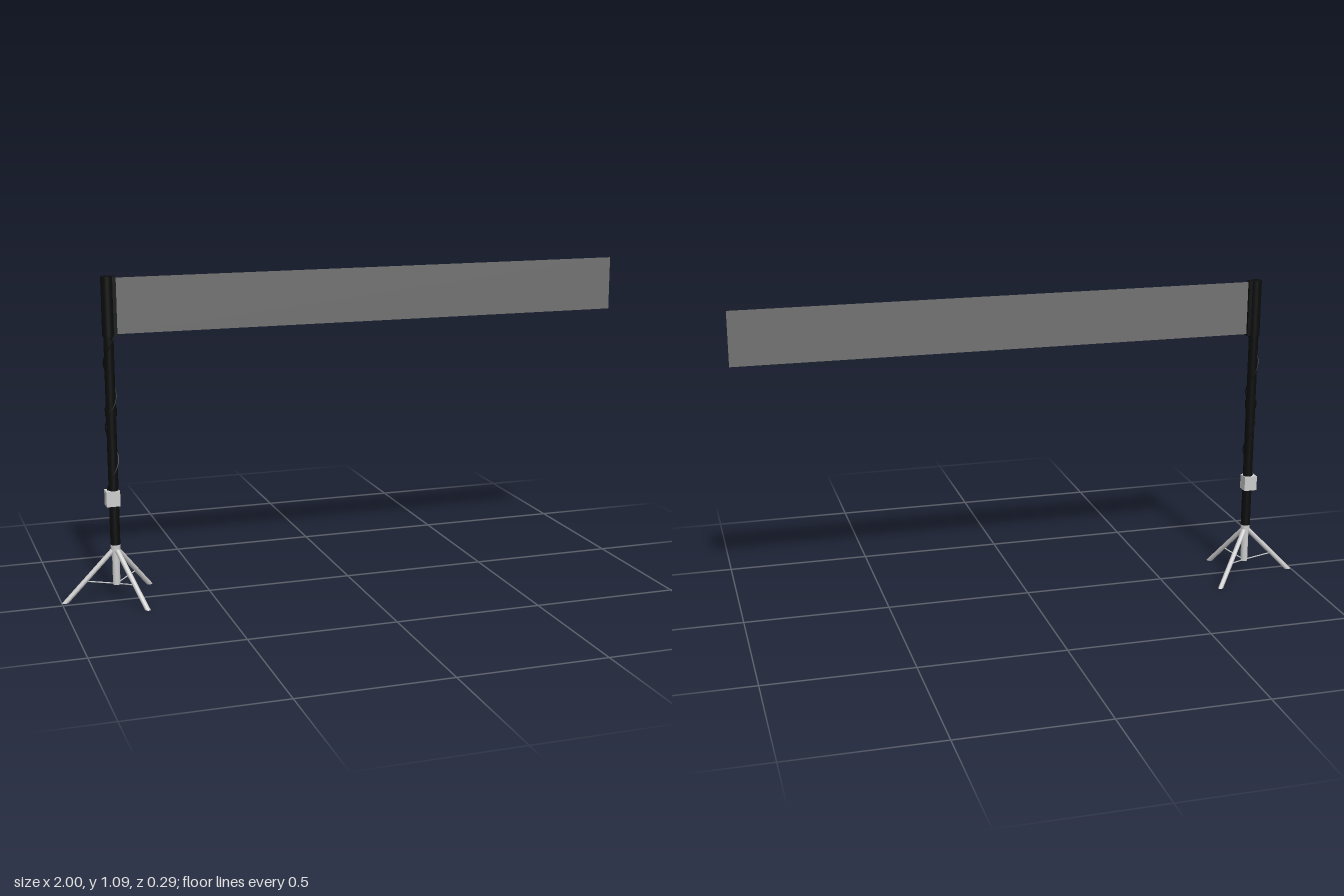
import * as THREE from 'three';

const PX = -0.814, PZ = -0.022; // pole axis
const mat = (color, extra = {}) => new THREE.MeshStandardMaterial({ color, ...extra });

export function createModel() {
  const root = new THREE.Group();
  const grey = mat(0xcccccc);
  const black = mat(0x0b0c0c);

  const add = (name, geometry, material, x = 0, y = 0, z = 0) => {
    const mesh = new THREE.Mesh(geometry, material);
    mesh.name = name;
    mesh.position.set(x, y, z);
    root.add(mesh);
    return mesh;
  };
  // Upright cylinder on the pole axis
  const upright = (name, r, y0, y1, material) =>
    add(name, new THREE.CylinderGeometry(r, r, y1 - y0, 28), material, PX, (y0 + y1) / 2, PZ);
  // Round bar between two points
  const barGeometry = (a, b, r, sides) => {
    const d = b.clone().sub(a);
    const g = new THREE.CylinderGeometry(r, r, d.length(), sides);
    g.applyQuaternion(new THREE.Quaternion().setFromUnitVectors(new THREE.Vector3(0, 1, 0), d.normalize()));
    const m = a.clone().add(b).multiplyScalar(0.5);
    return g.translate(m.x, m.y, m.z);
  };

  // Pole, joint collar and top sleeve
  upright('pole', 0.0165, 0.19, 0.9, black);
  upright('jointCollar', 0.02, 0.63, 0.657, black);
  upright('topSleeve', 0.02, 0.895, 1.09, black);
  add('netClamp', new THREE.BoxGeometry(0.02, 0.195, 0.022), black, -0.796, 0.9925, PZ);

  // Net panel
  add('net', new THREE.PlaneGeometry(1.79, 0.185), mat(0x707070, { side: THREE.DoubleSide }), 0.105, 0.9925, PZ);

  // Control box around the pole
  add('controlBox', new THREE.BoxGeometry(0.046, 0.052, 0.042), grey, -0.819, 0.351, PZ);

  // Cable winding up the pole
  const points = [];
  for (let i = 0; i <= 60; i++) {
    const y = 0.375 + (0.895 - 0.375) * i / 60;
    const a = (y - 0.435) / 0.215 * Math.PI * 2;
    points.push(new THREE.Vector3(PX + 0.0195 * Math.sin(a), y, PZ + 0.0195 * Math.cos(a)));
  }
  add('cable', new THREE.TubeGeometry(new THREE.CatmullRomCurve3(points), 140, 0.002, 6), black);

  // Tripod: centre tube, hub, legs cut flat at the ground, thin braces
  upright('tripodTube', 0.0125, 0.05, 0.2, grey);
  upright('tripodHub', 0.016, 0.172, 0.19, grey);
  for (const [fx, fz] of [[-0.988, PZ - 0.003], [-0.68, -0.137], [-0.74, 0.128]]) {
    const top = new THREE.Vector3(PX, 0.18, PZ);
    const foot = new THREE.Vector3(fx, 0, fz);
    const dir = foot.clone().sub(top);
    const start = top.clone().addScaledVector(dir, 0.05);
    const geometry = barGeometry(start, foot, 0.0085, 12);
    const p = geometry.attributes.position;
    const v = new THREE.Vector3();
    for (let i = 0; i < p.count; i++) {
      v.fromBufferAttribute(p, i);
      if (v.y < 0.05) {
        v.addScaledVector(dir, -v.y / dir.y);
        p.setXYZ(i, v.x, 0, v.z);
      }
    }
    geometry.computeVertexNormals();
    add('tripodLeg', geometry, grey);
    const hub = new THREE.Vector3(PX, 0.052, PZ);
    add('legBrace', barGeometry(hub, top.clone().addScaledVector(dir, 0.61), 0.0022, 6), grey);
  }
  return root;
}
